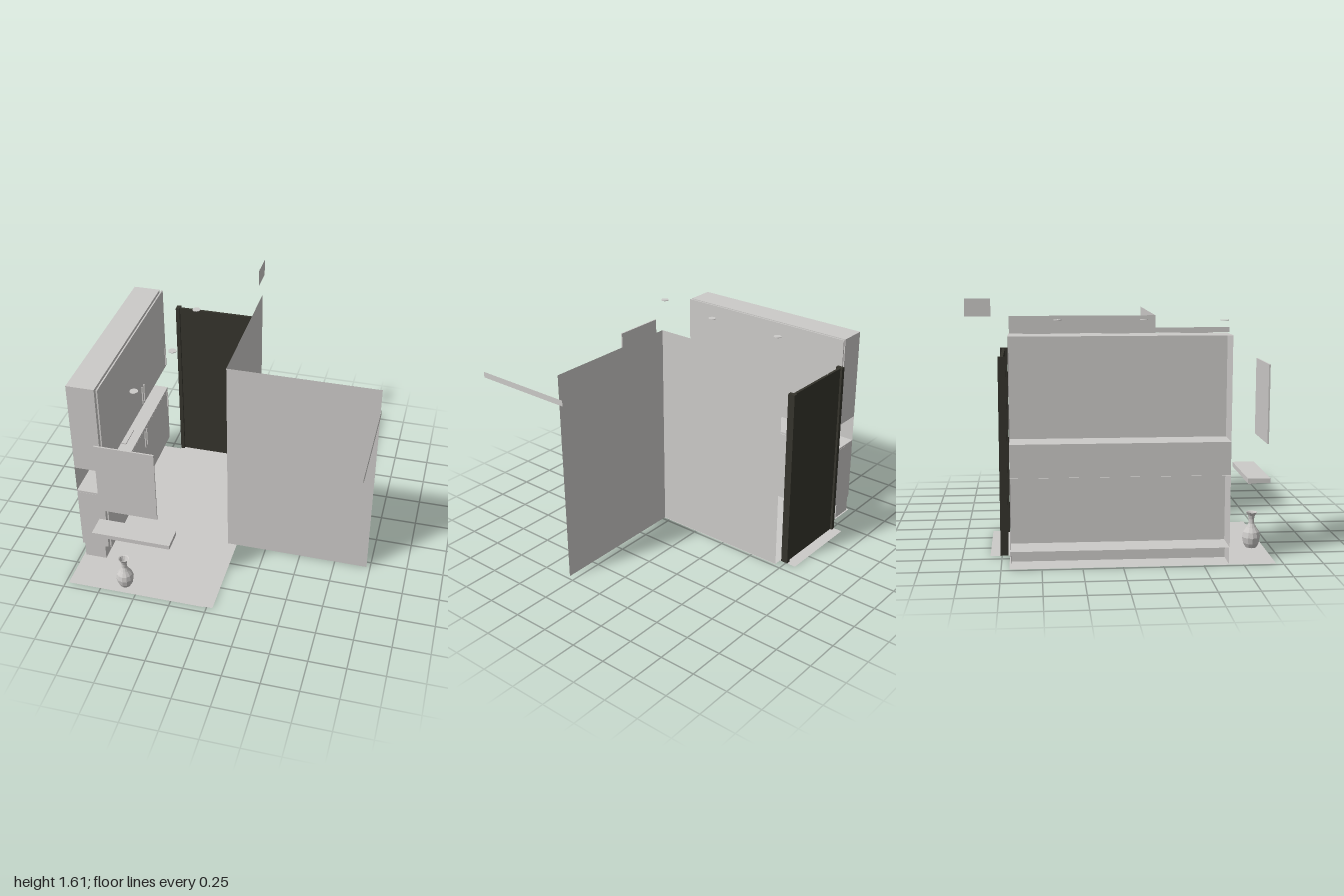
import * as THREE from 'three';

export function createModel() {
  const model = new THREE.Group();
  const plaster = new THREE.MeshStandardMaterial({ color: 0xcccac8, side: THREE.DoubleSide });
  plaster.name = 'pale grey';
  const dark = new THREE.MeshStandardMaterial({ color: 0x35342c });
  dark.name = 'dark bronze';

  const add = (name, geometry, material = plaster) => {
    const mesh = new THREE.Mesh(geometry, material);
    mesh.name = name;
    model.add(mesh);
    return mesh;
  };
  // Box given by its limits on each axis
  const box = (name, [x0, x1], [y0, y1], [z0, z1], material) => {
    const g = new THREE.BoxGeometry(x1 - x0, y1 - y0, z1 - z0);
    g.translate((x0 + x1) / 2, (y0 + y1) / 2, (z0 + z1) / 2);
    return add(name, g, material);
  };
  // Thin-walled box with its -x side left open
  const openBox = (name, x, y, z) => {
    const g = box(name, x, y, z).geometry;
    const index = Array.from(g.index.array);
    index.splice(6, 6);
    g.setIndex(index);
    g.clearGroups();
  };
  // Flat sheets: upright facing x, upright facing z, and lying
  const sheetX = (name, x, [y0, y1], [z0, z1]) => {
    const g = new THREE.PlaneGeometry(z1 - z0, y1 - y0).rotateY(Math.PI / 2);
    add(name, g.translate(x, (y0 + y1) / 2, (z0 + z1) / 2));
  };
  const sheetZ = (name, z, [x0, x1], [y0, y1]) => {
    const g = new THREE.PlaneGeometry(x1 - x0, y1 - y0);
    add(name, g.translate((x0 + x1) / 2, (y0 + y1) / 2, z));
  };
  const sheetY = (name, y, [x0, x1], [z0, z1]) => {
    const g = new THREE.PlaneGeometry(x1 - x0, z1 - z0).rotateX(-Math.PI / 2);
    add(name, g.translate((x0 + x1) / 2, y, (z0 + z1) / 2));
  };

  // Floor and threshold
  sheetY('floor', 0, [-0.98, -0.02], [-0.7, 0.955]);
  sheetY('floorStrip', 0, [-0.02, 0.04], [0.3, 0.95]);
  sheetY('threshold', 0, [-0.68, -0.08], [-0.825, -0.7]);

  // Walls
  sheetX('sideWall', -0.025, [0, 1.483], [-0.7, 0.3]);
  sheetZ('frontWall', 0.3, [-0.025, 0.975], [0, 1.483]);
  sheetX('wallBeam', 0.978, [1.28, 1.32], [0.27, 1]);
  sheetX('ceilingPanel', -0.08, [1.485, 1.605], [-0.995, -0.82]);

  // Entrance door
  box('doorLeaf', [-0.66, -0.1], [0, 1.27], [-0.745, -0.727], dark);
  for (const x of [-0.68, -0.108]) {
    box('doorJamb', [x, x + 0.028], [0, 1.275], [-0.76, -0.71], dark);
  }

  // Cabinets
  const run = [-0.69, 0.66];
  openBox('upperCabinet', [-0.98, -0.79], [0.775, 1.425], run);
  openBox('lowerCabinet', [-0.98, -0.79], [0.11, 0.567], run);
  openBox('toeKick', [-0.965, -0.815], [0, 0.11], run);
  box('upperDoors', [-0.777, -0.767], [0.782, 1.425], run);
  box('lowerDoors', [-0.777, -0.767], [0.11, 0.563], run);
  box('countertop', [-0.98, -0.765], [0.568, 0.582], run);
  sheetX('backsplash', -0.98, [0.58, 0.775], run);
  for (const z of [-0.67, -0.17, -0.13]) {
    for (const y of [0.8, 0.41]) {
      box('cabinetHandle', [-0.767, -0.759], [y, y + 0.14], [z - 0.004, z + 0.004]);
    }
  }

  // Tray and cup
  box('tray', [-0.93, -0.83], [0.582, 0.59], [-0.09, 0.09]);
  const cup = [[0, 0.586], [0.027, 0.586], [0.037, 0.637], [0.033, 0.637], [0.025, 0.595], [0, 0.595]];
  add('cup', new THREE.LatheGeometry(cup.map(p => new THREE.Vector2(...p)), 20))
    .position.set(-0.88, 0, 0.425);

  // Framed panel on the side wall
  const rails = [
    [[0.17, 0.195], [-0.38, 0.035]], [[1.205, 1.23], [-0.38, 0.035]],
    [[0.195, 1.205], [-0.38, -0.355]], [[0.195, 1.205], [0.01, 0.035]],
  ];
  for (const [y, z] of rails) box('panelFrame', [-0.042, -0.025], y, z);
  box('framedPanel', [-0.036, -0.025], [0.195, 1.205], [-0.355, 0.01]);

  // Mirror and shelf
  box('mirror', [-0.7, -0.312], [0.705, 1.215], [0.945, 0.955]);
  box('shelf', [-0.77, -0.24], [0.466, 0.497], [0.81, 0.955]);
  box('shelfLip', [-0.765, -0.245], [0.46, 0.466], [0.815, 0.83]);

  // Faceted vase
  const profile = [
    [0, 0], [0.036, 0], [0.052, 0.03], [0.06, 0.07], [0.053, 0.105], [0.032, 0.135],
    [0.019, 0.16], [0.018, 0.19], [0.024, 0.215], [0.037, 0.235], [0.03, 0.232], [0.013, 0.19],
  ];
  const vase = new THREE.LatheGeometry(profile.map(p => new THREE.Vector2(...p)), 12).toNonIndexed();
  vase.computeVertexNormals();
  add('vase', vase).position.set(-0.597, 0, 0.873);

  // Ceiling downlights
  for (const [x, z] of [[-0.42, -0.38], [-0.42, 0.18], [-0.51, 0.69]]) {
    add('downlight', new THREE.CylinderGeometry(0.027, 0.027, 0.004, 24)).position.set(x, 1.483, z);
  }
  return model;
}
